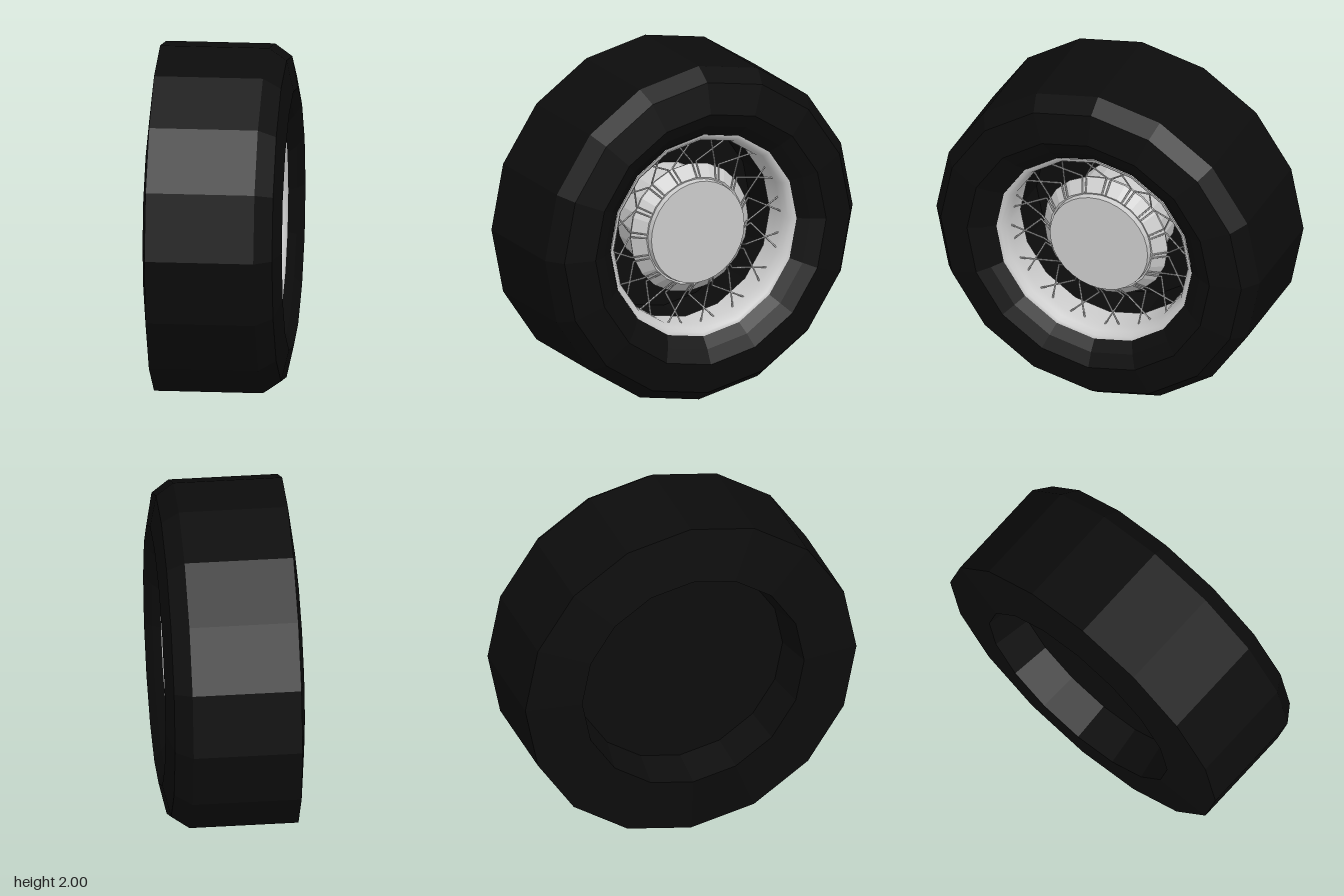
import * as THREE from 'three';

const SIDES = 16;
const black = new THREE.MeshStandardMaterial({ color: 0x0c0c0c, flatShading: true });
const grey = new THREE.MeshStandardMaterial({ color: 0xcccccc, flatShading: true });
const smoothGrey = new THREE.MeshStandardMaterial({ color: 0xcccccc, side: THREE.DoubleSide });

// Revolves [radius, x] pairs around the x axis
function revolve(name, profile, sides, material) {
  const geo = new THREE.LatheGeometry(profile.map(([r, x]) => new THREE.Vector2(r, x)), sides);
  geo.rotateZ(-Math.PI / 2);
  const mesh = new THREE.Mesh(geo, material);
  mesh.name = name;
  return mesh;
}

// Point on the wheel at an angle from the top, radius r, offset x along the axle
const polar = (angle, r, x) => new THREE.Vector3(x, Math.cos(angle) * r, -Math.sin(angle) * r);

// Thin rod between two points
function rod(a, b, radius) {
  const dir = b.clone().sub(a);
  const mesh = new THREE.Mesh(new THREE.CylinderGeometry(radius, radius, dir.length(), 5), grey);
  mesh.position.copy(a).add(b).multiplyScalar(0.5);
  mesh.quaternion.setFromUnitVectors(new THREE.Vector3(0, 1, 0), dir.normalize());
  return mesh;
}

export function createModel() {
  const group = new THREE.Group();
  group.name = 'wheel';
  const wheel = new THREE.Group();
  wheel.name = 'wheelAssembly';
  wheel.position.y = 1;
  group.add(wheel);

  // Tire with recessed back and closed inner wall
  wheel.add(revolve('tire', [
    [0, -0.18], [0.62, -0.18], [0.67, -0.4], [1, -0.36], [1, 0.26],
    [0.93, 0.36], [0.75, 0.4], [0.67, 0.36], [0.605, 0.31],
    [0.565, 0.24], [0.56, -0.15], [0, -0.15],
  ], SIDES, black));

  // Bright rim lip curving into the well
  wheel.add(revolve('rim', [
    [0.605, 0.315], [0.585, 0.31], [0.565, 0.285], [0.553, 0.24], [0.55, 0.17], [0.55, 0.1],
  ], SIDES, smoothGrey));

  // Hub: barrel, bevelled collar, groove
  wheel.add(revolve('hub', [
    [0.3, -0.15], [0.3, 0.1], [0.37, 0.12], [0.383, 0.15], [0.318, 0.22], [0.306, 0.215], [0, 0.215],
  ], 20, grey));

  // Flat hub cap
  const cap = new THREE.Mesh(new THREE.CylinderGeometry(0.302, 0.308, 0.045, 32), grey);
  cap.name = 'hubCap';
  cap.rotation.z = -Math.PI / 2;
  cap.position.x = 0.2275;
  wheel.add(cap);

  // Paired spokes: each lies along the collar, then crosses over to the rim
  const spokes = new THREE.Group();
  spokes.name = 'spokes';
  for (let i = 0; i < SIDES; i++) {
    const centre = (i / SIDES) * Math.PI * 2 + 0.06;
    for (const side of [-1, 1]) {
      const start = polar(centre + side * 0.035, 0.318, 0.225);
      const bend = polar(centre + side * 0.035, 0.395, 0.16);
      const end = polar(centre + side * 0.28, 0.55, 0.23);
      const spoke = new THREE.Group();
      spoke.name = 'spoke';
      spoke.add(rod(start, bend, 0.005), rod(bend, end, 0.005));
      spokes.add(spoke);
    }
  }
  wheel.add(spokes);

  return group;
}
